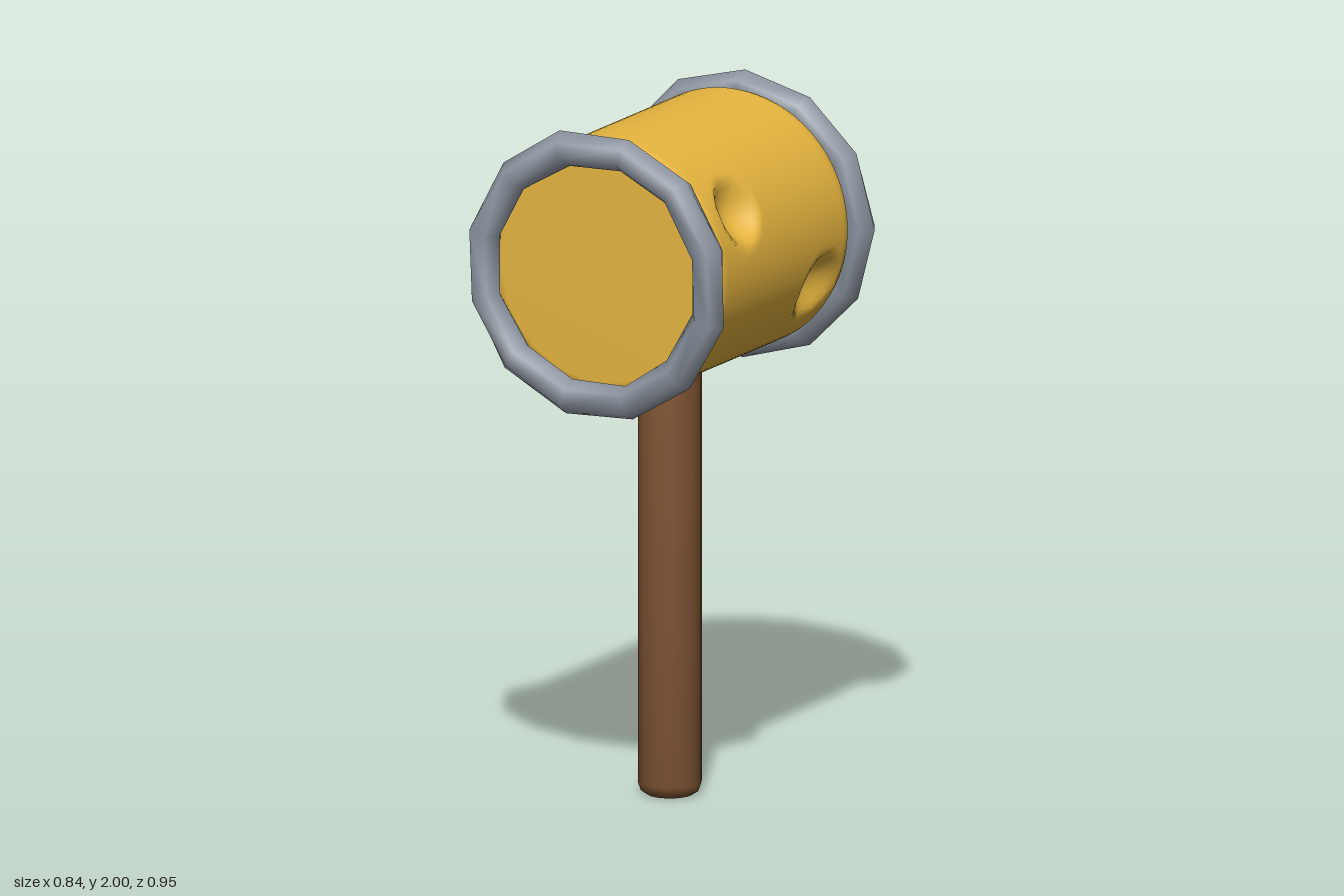
import * as THREE from 'three';
import { mergeVertices, toCreasedNormals } from 'three/addons/utils/BufferGeometryUtils.js';

const HEAD_Y = 1.593;
const HOOP_Y = 1.588;

const paint = (name, color) => {
  const m = new THREE.MeshStandardMaterial({ color });
  m.name = name;
  return m;
};

// Weld seams so that normals run smoothly across them
function weld(geometry) {
  geometry.deleteAttribute('uv');
  geometry.deleteAttribute('normal');
  const g = mergeVertices(geometry, 1e-4);
  g.computeVertexNormals();
  return g;
}

function lathe(points, sides) {
  return new THREE.LatheGeometry(points.map(([r, y]) => new THREE.Vector2(r, y)), sides);
}

// Barrel along z with bevelled rims and two round dents on its left side
function headGeometry() {
  const rim = [[0, 0.406], [0.318, 0.406], [0.338, 0.404], [0.352, 0.39], [0.366, 0.372]];
  const profile = rim.map(([r, z]) => [r, -z]);
  for (let i = 0; i <= 44; i++) profile.push([0.372, -0.352 + (0.704 * i) / 44]);
  profile.push(...rim.reverse());
  const g = weld(lathe(profile, 112).rotateX(Math.PI / 2));

  const dents = [
    { y: 0.17, z: 0.2, radius: 0.105, depth: 0.058 },
    { y: -0.14, z: -0.235, radius: 0.105, depth: 0.062 },
  ];
  const pos = g.attributes.position;
  const v = new THREE.Vector3();
  for (const d of dents) {
    const centre = new THREE.Vector3(Math.sqrt(0.372 ** 2 - d.y ** 2), d.y, d.z);
    const inward = new THREE.Vector3(-centre.x, -centre.y, 0).normalize();
    for (let i = 0; i < pos.count; i++) {
      v.fromBufferAttribute(pos, i);
      const t = v.distanceTo(centre) / d.radius;
      if (t >= 1) continue;
      v.addScaledVector(inward, d.depth * (1 - t * t) ** 1.3);
      pos.setXYZ(i, v.x, v.y, v.z);
    }
  }
  g.computeVertexNormals();
  return g;
}

// Hammered hoop: coarse six-sided ring with a slight wobble
function hoopGeometry(seed, turn) {
  const g = weld(new THREE.TorusGeometry(0.369, 0.05, 6, 12).rotateZ(turn));
  const pos = g.attributes.position;
  let s = seed;
  const wobble = () => {
    s = (s * 16807) % 2147483647;
    return (s / 2147483647 - 0.5) * 0.01;
  };
  for (let i = 0; i < pos.count; i++) {
    pos.setXYZ(i, pos.getX(i) + wobble(), pos.getY(i) + wobble(), pos.getZ(i) + wobble() * 0.5);
  }
  g.computeVertexNormals();
  return g;
}

export function createModel() {
  const gold = paint('gold', 0xe9b740);
  const steel = paint('steel', 0x8f97a3);
  const wood = paint('wood', 0x825635);
  const model = new THREE.Group();
  model.name = 'mallet';

  const add = (name, geometry, material, y = 0, z = 0) => {
    const mesh = new THREE.Mesh(geometry, material);
    mesh.name = name;
    mesh.position.set(0, y, z);
    model.add(mesh);
  };

  add('head', headGeometry(), gold, HEAD_Y);
  add('frontHoop', hoopGeometry(7100, 0.28), steel, HOOP_Y, 0.429);
  add('backHoop', hoopGeometry(421100, 0), steel, HOOP_Y, -0.433);

  // Handle with a bevelled foot, its top sunk into the head
  const handle = lathe([[0, 0], [0.065, 0], [0.083, 0.012], [0.091, 0.035], [0.091, 1.3], [0, 1.3]], 14);
  add('handle', toCreasedNormals(weld(handle), 0.9), wood);

  return model;
}
